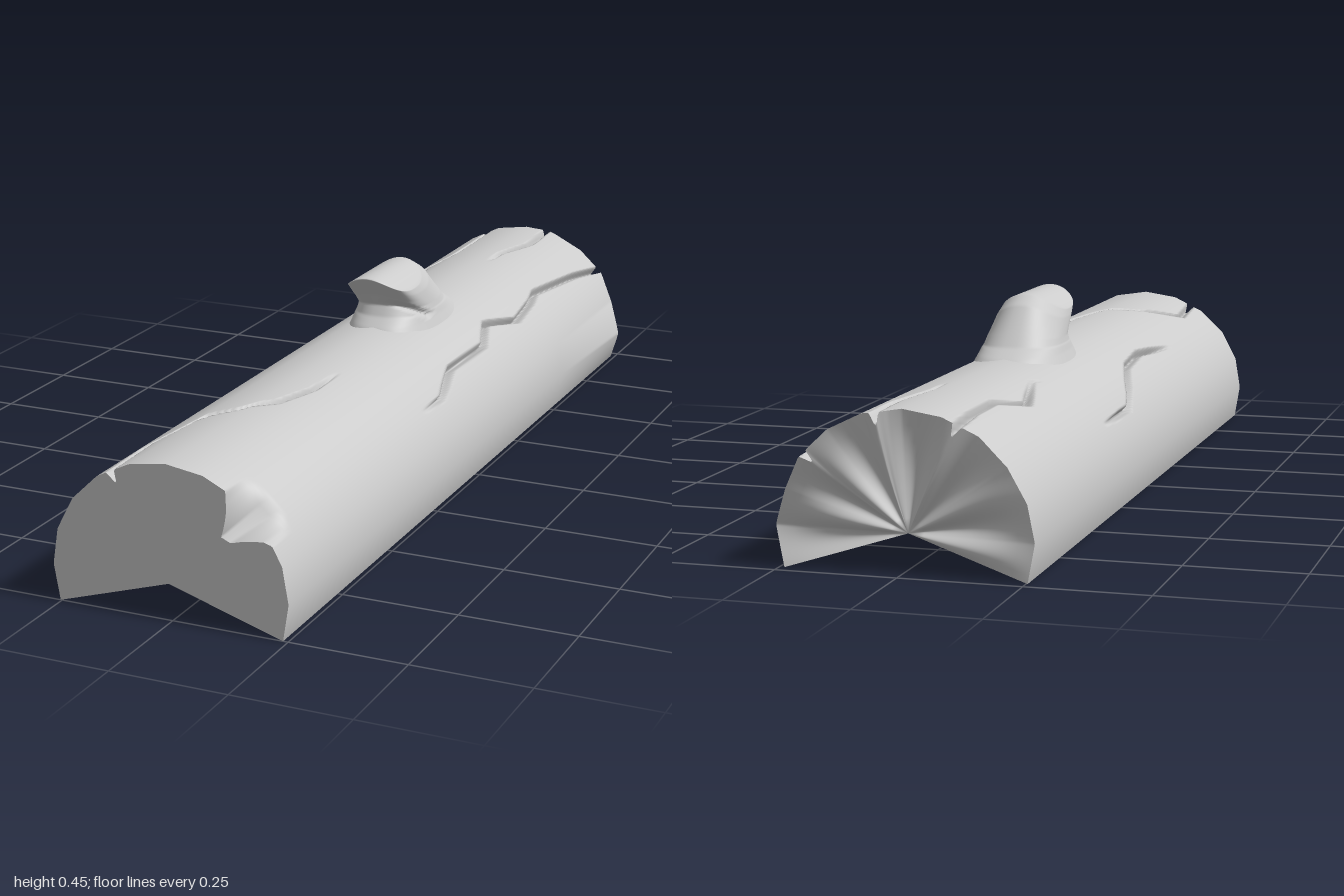
import * as THREE from 'three';
import { mergeVertices } from 'three/addons/utils/BufferGeometryUtils.js';

const CX = -0.007, CY = 0.078, RX = 0.259, RY = 0.248;
const RAD = Math.PI / 180, START = -18, SWEEP = 216;
const clamp01 = (t) => Math.min(1, Math.max(0, t));

// Piecewise-linear lookup in a list of [key, value, ...]
function lookup(list, key, col = 1) {
  if (key <= list[0][0]) return list[0][col];
  for (let i = 1; i < list.length; i++) {
    const a = list[i - 1], b = list[i];
    if (key <= b[0]) return a[col] + (b[col] - a[col]) * (key - a[0]) / (b[0] - a[0]);
  }
  return list[list.length - 1][col];
}

// Surface from point(u, v); its front faces du x dv
function surface(nu, nv, point) {
  const pos = [], idx = [], w = nu + 1;
  for (let j = 0; j <= nv; j++)
    for (let i = 0; i <= nu; i++) pos.push(...point(i / nu, j / nv));
  for (let j = 0; j < nv; j++)
    for (let i = 0; i < nu; i++) {
      const a = j * w + i, b = a + 1, c = b + w, d = a + w;
      idx.push(a, b, c, a, c, d);
    }
  let geo = new THREE.BufferGeometry();
  geo.setAttribute('position', new THREE.Float32BufferAttribute(pos, 3));
  geo.setIndex(idx);
  geo = mergeVertices(geo, 1e-5);
  geo.computeVertexNormals();
  return geo;
}

// Gives the smooth-shaded log its twenty-sided outline
function facet(geo) {
  const p = geo.attributes.position;
  for (let i = 0; i < p.count; i++) {
    const x = p.getX(i) - CX, y = p.getY(i) - CY;
    const deg = Math.atan2(y / RY, x / RX) / RAD + 360;
    const f = Math.cos(9 * RAD) / Math.cos(((deg % 18) - 9) * RAD);
    p.setXY(i, CX + x * f, CY + y * f);
  }
  return geo;
}

// Bark cracks as [z, x] seen from above
const cracks = [
  [[-1.01, -0.12], [-0.85, -0.11], [-0.73, -0.11], [-0.62, -0.15], [-0.45, -0.11], [-0.41, -0.12]],
  [[-1.01, 0.045], [-0.85, 0.05], [-0.72, 0.02], [-0.64, 0.02]],
  [[-1.01, 0.2], [-0.85, 0.18], [-0.6, 0.16], [-0.55, 0.17], [-0.42, 0.182], [-0.28, 0.152],
    [-0.2, 0.182], [0, 0.18], [0.12, 0.207], [0.23, 0.207]],
  [[-0.32, -0.235], [-0.1, -0.235], [0.1, -0.18], [0.25, -0.17], [0.5, -0.19]],
  [[0.33, 0.05], [0.45, 0.048], [0.57, 0.02], [0.64, -0.03], [0.68, -0.08], [0.82, -0.145], [1.01, -0.13]],
];

function crackDepth(deg, z) {
  let depth = 0;
  for (const path of cracks) {
    const z0 = path[0][0], z1 = path[path.length - 1][0];
    if (z < z0 || z > z1) continue;
    const centre = Math.acos((lookup(path, z) - CX) / RX);
    // taper towards ends that stop inside the bark
    const taper = Math.min(z0 < -1 ? 1 : clamp01((z - z0) / 0.15), z1 > 1 ? 1 : clamp01((z1 - z) / 0.15));
    const width = 0.004 + 0.004 * taper;
    const d = Math.abs(deg * RAD - centre) * 0.255;
    depth = Math.max(depth, 0.026 * taper * clamp01(1.2 - d / width));
  }
  return depth;
}

// Uneven broken back edge, and the chip in the front edge, by angle
const backEdge = [[-18, -0.975], [0, -0.94], [18, -0.965], [36, -0.985], [54, -0.982], [72, -0.985],
  [78, -1], [84, -0.99], [90, -0.984], [108, -0.986], [126, -0.98], [144, -0.986], [162, -0.98],
  [180, -0.972], [198, -0.978]];
const chip = [[28, 0], [31, 0.05], [39, 0.31], [46, 0.34], [57, 0.08], [60, 0]];

function logPoint(u, v) {
  const deg = START + SWEEP * u;
  const back = lookup(backEdge, deg);
  const z = back + (1 - back) * v;
  const chipAmount = lookup(chip, deg) * clamp01(1 - (1 - z) / 0.085);
  const bulge = 0.07 * clamp01((-0.55 - z) / 0.4) * clamp01(1 - Math.abs(deg) / 18);
  const r = 1 - chipAmount + bulge - crackDepth(deg, z) / 0.255;
  return [CX + RX * r * Math.cos(deg * RAD), CY + RY * r * Math.sin(deg * RAD), z];
}

// End face running from the split centre to the rim, with optional radial folds
function endPoint(u, t, end) {
  const centreZ = end ? 1 : -0.95;
  const [x, y, z] = logPoint(u, end);
  const fold = end ? 0 : 0.012 * Math.sin(u * Math.PI * 12) * Math.sin(Math.PI * t);
  return [CX + (x - CX) * t, CY + (y - CY) * t, centreZ + (z - centreZ) * t + fold];
}

// Branch stub sections: [height, back z, front z, half width]
const stub = [[0.28, -0.38, 0.06, 0.11], [0.325, -0.315, 0.02, 0.092], [0.345, -0.275, -0.005, 0.086],
  [0.37, -0.25, -0.02, 0.083], [0.4, -0.22, 0.005, 0.08], [0.43, -0.19, 0.035, 0.077], [0.45, -0.15, 0.055, 0.073]];

function stubPoint(u, v) {
  const side = clamp01(v / 0.8), inward = 1 - clamp01((v - 0.8) / 0.2);
  const h = 0.28 + 0.17 * side;
  const zb = lookup(stub, h, 1), zf = lookup(stub, h, 2), hw = lookup(stub, h, 3);
  const a = -u * Math.PI * 2;
  const round = (c) => Math.sign(c) * Math.pow(Math.abs(c), 0.8);
  let x = hw * round(Math.cos(a)) * inward;
  const z = (zb + zf) / 2 + (zf - zb) / 2 * round(Math.sin(a)) * inward;
  // rounded crown
  const y = h - 0.045 * (x / 0.078) ** 2 * clamp01((h - 0.34) / 0.11);
  // split along one flank
  if (x > 0 && z > -0.12 && z < 0.01 && inward === 1)
    x -= 0.014 * clamp01(1 - Math.abs(y - 0.385 - 0.5 * z) / 0.008);
  return [CX + x, y, z];
}

export function createModel() {
  const group = new THREE.Group();
  const material = new THREE.MeshStandardMaterial({ color: 0xcccccc, side: THREE.DoubleSide });
  const add = (name, geo) => {
    const mesh = new THREE.Mesh(geo, material);
    mesh.name = name;
    group.add(mesh);
  };

  add('bark', facet(surface(260, 200, logPoint)));
  add('frontEnd', facet(surface(260, 1, (u, v) => endPoint(u, 1 - v, 1))));
  add('backEnd', facet(surface(260, 8, (u, v) => endPoint(u, v, 0))));

  // Split underside: two planes meeting along the raised centre line
  for (const [name, from, to] of [['undersideRight', 1, null], ['undersideLeft', null, 0]]) {
    const edge = (u, v) => (u === null ? [CX, CY, v ? 1 : -0.95] : logPoint(u, v));
    add(name, surface(1, 1, (u, v) => edge(u ? to : from, v)));
  }

  add('branchStub', surface(64, 70, stubPoint));
  return group;
}
